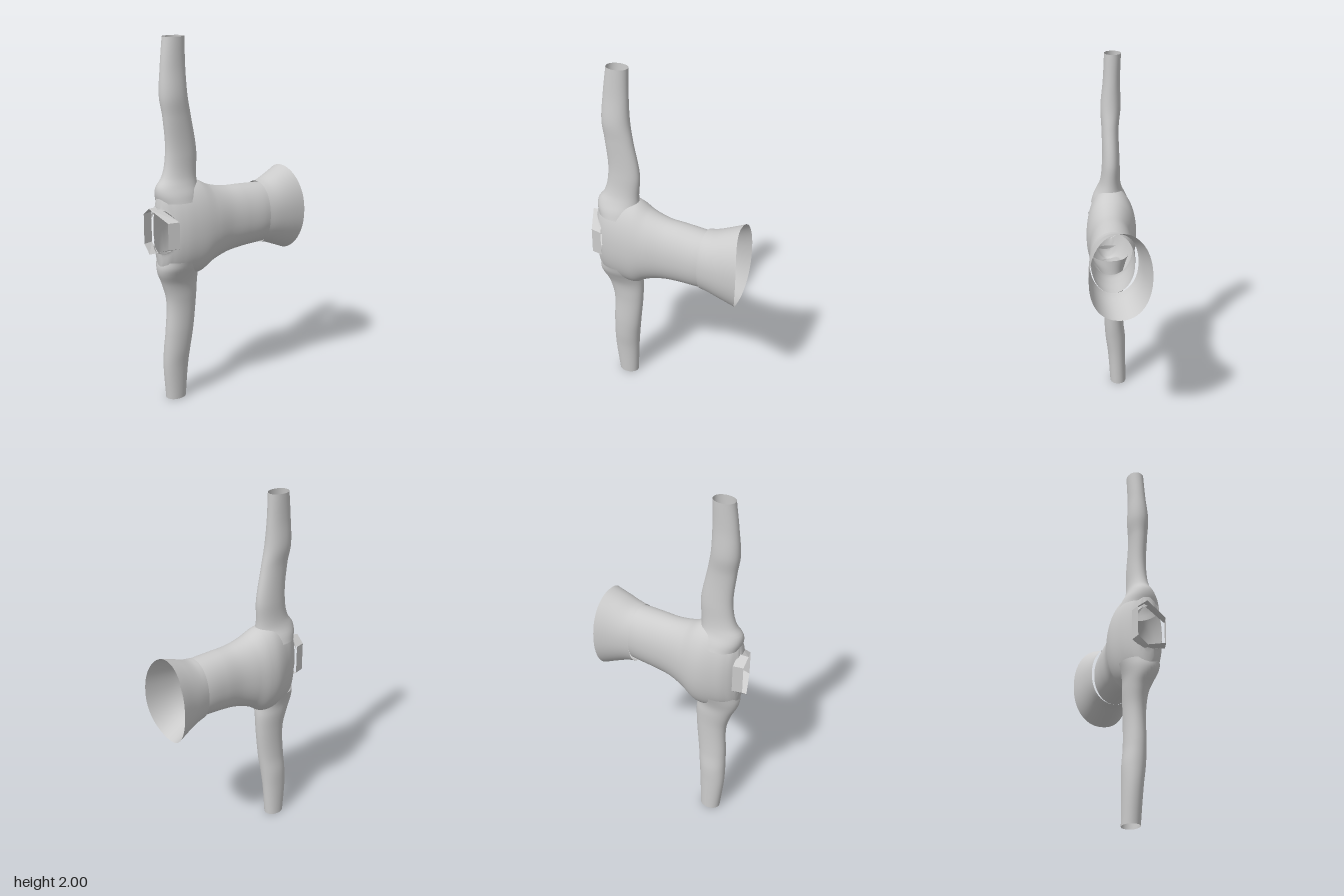
import * as THREE from 'three';

const material = new THREE.MeshStandardMaterial({ color: 0xcccccc, side: THREE.DoubleSide });

// Superellipse point on the unit circle
const squircle = (a, p) => [Math.cos(a), Math.sin(a)].map((c) => Math.sign(c) * Math.abs(c) ** (2 / p));

// Open shell through sections [t, uMin, uMax, vMin, vMax]; t runs along y or z.
// Each hole is pushed open: vertices inside move to its rim, inner triangles are dropped.
function loft(name, axis, sections, { rows = 40, segs = 40, power = 2, holes = [], shift } = {}) {
  const spline = new THREE.CubicInterpolant(
    sections.map((s) => s[0]), sections.flatMap((s) => s.slice(1)), 4, new Float32Array(4));
  const t0 = sections[0][0], t1 = sections[sections.length - 1][0];
  const positions = [], inside = [], index = [];
  for (let i = 0; i <= rows; i++) {
    const f = i / rows;
    const t = t0 + (t1 - t0) * f;
    const [u0, u1, v0, v1] = spline.evaluate(t);
    for (let j = 0; j < segs; j++) {
      const [c, s] = squircle((j / segs) * Math.PI * 2, power);
      const u = (u0 + u1) / 2 + ((u1 - u0) / 2) * c;
      const v = (v0 + v1) / 2 + ((v1 - v0) / 2) * s;
      const p = axis === 'y' ? new THREE.Vector3(u, t, v) : new THREE.Vector3(u, v, t);
      if (shift) shift(p, f, c);
      let cut = -1;
      holes.forEach((h, k) => {
        if (!h.where(p)) return;
        const du = (p.x - h.x) / h.rx, dv = (p[h.other] - h.o) / h.ro;
        const r = (Math.abs(du) ** h.power + Math.abs(dv) ** h.power) ** (1 / h.power);
        if (r >= 1) return;
        cut = k;
        p.x = h.x + (du / Math.max(r, 1e-3)) * h.rx;
        p[h.other] = h.o + (dv / Math.max(r, 1e-3)) * h.ro;
      });
      positions.push(p.x, p.y, p.z);
      inside.push(cut);
    }
  }
  const face = (a, b, c) => {
    if (inside[a] >= 0 && inside[a] === inside[b] && inside[b] === inside[c]) return;
    if (axis === 'y') index.push(a, c, b);
    else index.push(a, b, c);
  };
  for (let i = 0; i < rows; i++) {
    for (let j = 0; j < segs; j++) {
      const k = (j + 1) % segs;
      const a = i * segs + j, b = i * segs + k, c = a + segs, d = b + segs;
      face(a, b, d);
      face(a, d, c);
    }
  }
  const geometry = new THREE.BufferGeometry();
  geometry.setAttribute('position', new THREE.Float32BufferAttribute(positions, 3));
  geometry.setIndex(index);
  geometry.computeVertexNormals();
  const mesh = new THREE.Mesh(geometry, material);
  mesh.name = name;
  return mesh;
}

// Six-sided collar around the front opening, slanting back towards +x
function collar() {
  const outline = [[-0.05, 0.93], [-0.05, 1.09], [0, 1.13], [0.11, 1.07], [0.11, 0.93], [0, 0.885]];
  const ring = (scale, depth) => outline.map(([x, y]) => {
    const px = 0.03 + (x - 0.03) * scale;
    return [px, 1.008 + (y - 1.008) * Math.min(scale, 1.03), 0.455 - 0.45 * Math.max(0, px - 0.01) - depth];
  });
  const front = ring(1.02, 0), back = ring(1.2, 0.055);
  const points = [];
  front.forEach((a, i) => {
    const j = (i + 1) % front.length;
    points.push(...a, ...front[j], ...back[j], ...a, ...back[j], ...back[i]);
  });
  const geometry = new THREE.BufferGeometry();
  geometry.setAttribute('position', new THREE.Float32BufferAttribute(points, 3));
  geometry.computeVertexNormals();
  const mesh = new THREE.Mesh(geometry, material);
  mesh.name = 'frontCollar';
  return mesh;
}

export function createModel() {
  const group = new THREE.Group();
  group.name = 'branchingTube';

  // Openings in the body: one in front, one each for the upper and lower branch
  const branchHole = (where) => ({ where, x: 0, rx: 0.06, other: 'z', o: 0.285, ro: 0.085, power: 2 });
  const holes = [
    { where: (p) => p.z > 0.22, x: 0.03, rx: 0.08, other: 'y', o: 1.008, ro: 0.122, power: 2.5 },
    branchHole((p) => p.y > 1.14),
    branchHole((p) => p.y < 0.87),
  ];

  // Main horizontal body with a rounded front
  group.add(loft('body', 'z', [
    [-0.25, -0.09, 0.14, 0.84, 1.175],
    [-0.2, -0.095, 0.143, 0.838, 1.178],
    [-0.1, -0.097, 0.138, 0.833, 1.184],
    [0, -0.1, 0.135, 0.82, 1.19],
    [0.1, -0.12, 0.143, 0.785, 1.215],
    [0.17, -0.135, 0.145, 0.74, 1.25],
    [0.23, -0.136, 0.14, 0.735, 1.26],
    [0.3, -0.115, 0.127, 0.745, 1.25],
    [0.36, -0.085, 0.103, 0.765, 1.23],
    [0.395, -0.05, 0.075, 0.79, 1.205],
    [0.41, -0.02, 0.05, 0.86, 1.14],
    [0.415, 0.01, 0.03, 0.98, 1.02],
  ], { rows: 130, segs: 120, power: 2.1, holes }));

  // Flared rear sleeve, its rim sweeping back on the +x side
  group.add(loft('rearFlare', 'z', [
    [-0.42, -0.166, 0.163, 0.762, 1.244],
    [-0.34, -0.138, 0.159, 0.797, 1.212],
    [-0.27, -0.119, 0.153, 0.825, 1.186],
    [-0.232, -0.109, 0.147, 0.832, 1.181],
  ], {
    rows: 20, segs: 64, power: 2.15,
    shift: (p, f, c) => { p.z -= (1 - f) * c * c * (c > 0 ? 0.038 : 0.006); },
  }));

  // Upper and lower branches, widening where they meet the body
  group.add(loft('upperBranch', 'y', [
    [1.16, -0.1, 0.112, 0.165, 0.4],
    [1.2, -0.085, 0.1, 0.165, 0.41],
    [1.24, -0.064, 0.08, 0.17, 0.405],
    [1.28, -0.053, 0.064, 0.172, 0.375],
    [1.4, -0.047, 0.051, 0.165, 0.347],
    [1.6, -0.043, 0.052, 0.2, 0.36],
    [1.7, -0.054, 0.056, 0.218, 0.374],
    [1.85, -0.051, 0.042, 0.225, 0.364],
    [2, -0.055, 0.035, 0.225, 0.345],
  ], { rows: 60, power: 2.1 }));
  group.add(loft('lowerBranch', 'y', [
    [0, -0.087, 0.005, 0.222, 0.338],
    [0.2, -0.085, 0.02, 0.21, 0.356],
    [0.3, -0.083, 0.033, 0.2, 0.355],
    [0.4, -0.072, 0.04, 0.187, 0.35],
    [0.6, -0.068, 0.043, 0.166, 0.346],
    [0.7, -0.073, 0.055, 0.162, 0.375],
    [0.76, -0.076, 0.08, 0.165, 0.402],
    [0.8, -0.086, 0.1, 0.165, 0.408],
    [0.84, -0.1, 0.112, 0.165, 0.4],
  ], { rows: 60, power: 2.1 }));

  group.add(collar());
  return group;
}
